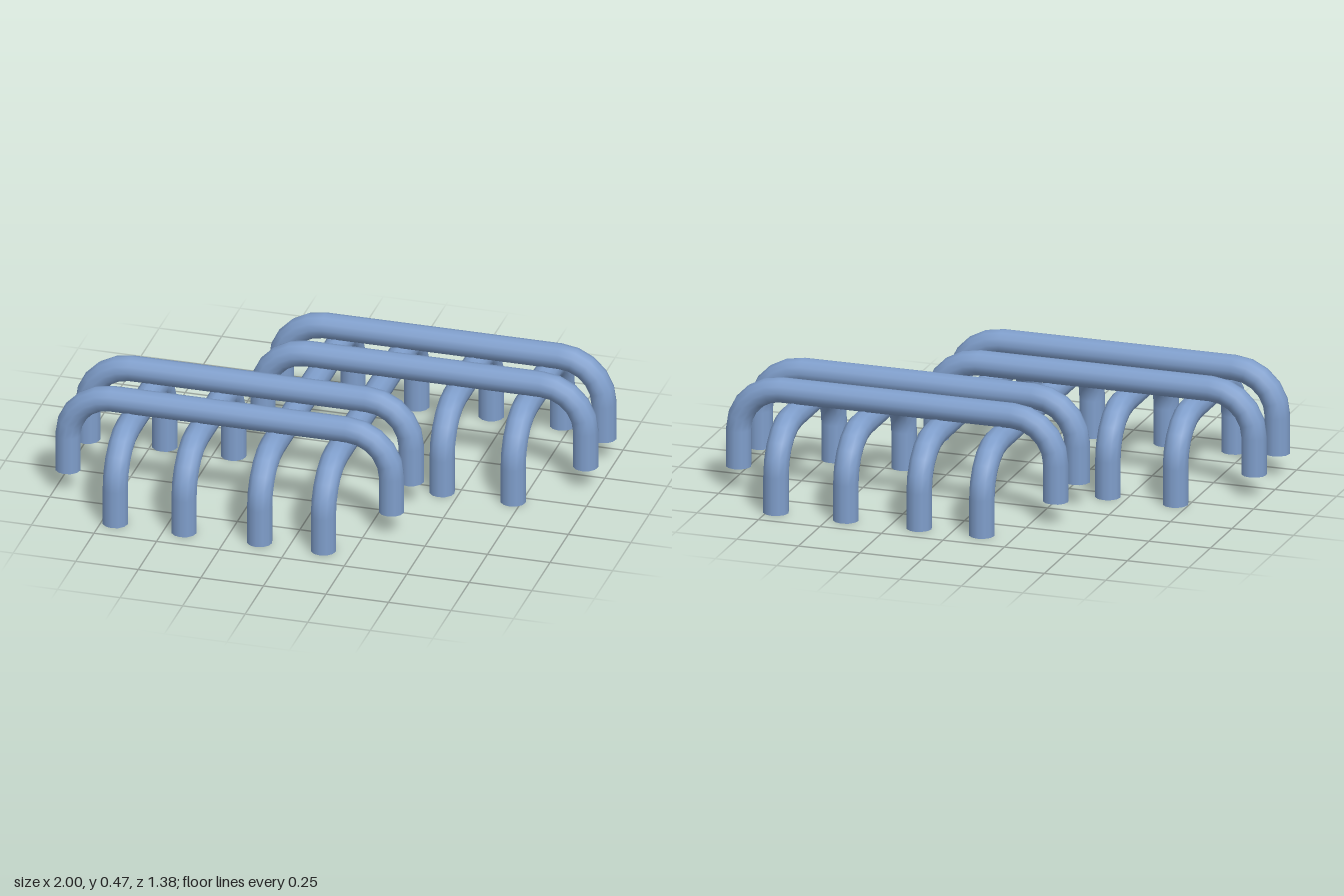
import * as THREE from 'three';

const RADIUS = 0.05, BEND = 0.175, SIDES = 12, ARC_STEPS = 5;

// Path of a staple-shaped bar, sampled exactly at its ring positions
class StapleCurve extends THREE.Curve {
  constructor(a, b, bottom, top) {
    super();
    this.rings = [[a, bottom, 0, 1]]; // position along, height, tangent along, tangent up
    for (let i = 0; i <= ARC_STEPS; i++) {
      const t = (i / ARC_STEPS) * Math.PI / 2, c = Math.cos(t), s = Math.sin(t);
      this.rings.push([a + BEND * (1 - c), top - BEND * (1 - s), s, c]);
    }
    for (let i = 0; i <= ARC_STEPS; i++) {
      const t = (i / ARC_STEPS) * Math.PI / 2, c = Math.cos(t), s = Math.sin(t);
      this.rings.push([b - BEND * (1 - s), top - BEND * (1 - c), c, -s]);
    }
    this.rings.push([b, bottom, 0, -1]);
  }
  ring(u) { return this.rings[Math.round(u * (this.rings.length - 1))]; }
  getPointAt(u, target = new THREE.Vector3()) {
    const r = this.ring(u);
    return target.set(r[0], r[1], 0);
  }
  getTangentAt(u, target = new THREE.Vector3()) {
    const r = this.ring(u);
    return target.set(r[2], r[3], 0).normalize();
  }
  getPoint(u, target) { return this.getPointAt(u, target); }
}

export function createModel() {
  const model = new THREE.Group();
  model.name = 'barRack';
  const blue = new THREE.MeshStandardMaterial({ color: 0x7f9ecb });
  blue.name = 'steelBlue';

  // A bent bar running along local x from a to b, with closed leg ends
  function makeBar(name, a, b, bottom, top) {
    const bar = new THREE.Group();
    bar.name = name;
    const curve = new StapleCurve(a, b, bottom, top);
    const tube = new THREE.Mesh(
      new THREE.TubeGeometry(curve, curve.rings.length - 1, RADIUS, SIDES, false), blue);
    tube.name = 'bentTube';
    bar.add(tube);
    for (const x of [a, b]) {
      const cap = new THREE.Mesh(new THREE.CircleGeometry(RADIUS, SIDES).rotateX(Math.PI / 2), blue);
      cap.name = 'legEnd';
      cap.position.set(x, bottom, 0);
      bar.add(cap);
    }
    model.add(bar);
    return bar;
  }

  // Upper bars running left to right: z, x start, x end
  [[0.42, -0.95, 0.343], [0.15, -0.95, 0.343], [-0.16, -0.34, 0.95], [-0.41, -0.34, 0.95]]
    .forEach(([z, a, b]) => { makeBar('upperBar', a, b, 0.09, 0.415).position.z = z; });

  // Lower bars running front to back: x, z start, z end
  [[-0.697, -0.04, 0.64], [-0.422, -0.04, 0.64], [-0.12, -0.64, 0.64],
    [0.135, -0.64, 0.64], [0.433, -0.64, 0.035], [0.717, -0.64, 0.035]]
    .forEach(([x, a, b]) => {
      const bar = makeBar('lowerBar', a, b, 0, 0.325);
      bar.position.x = x;
      bar.rotation.y = -Math.PI / 2;
    });

  return model;
}
